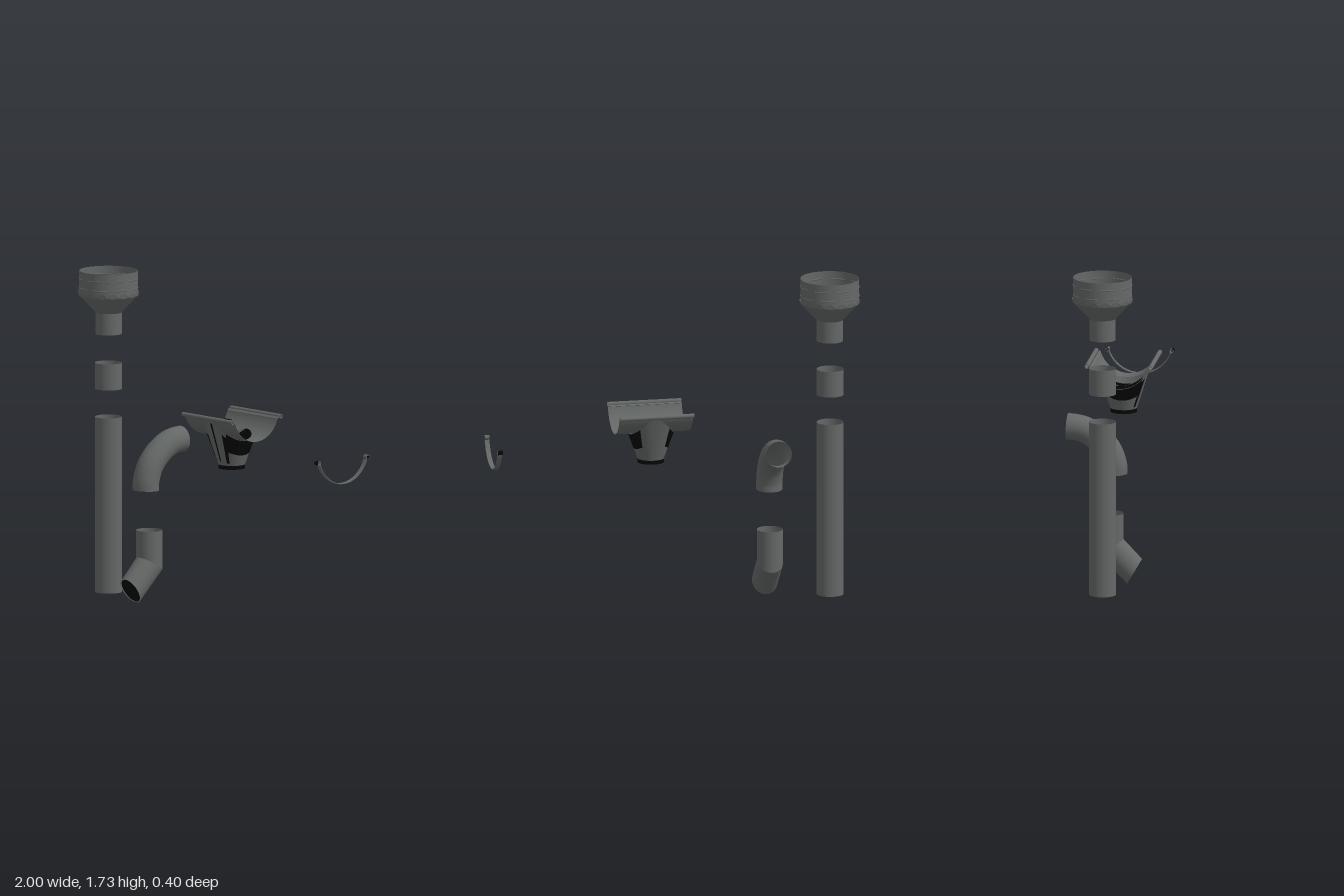
import * as THREE from 'three';
import { ParametricGeometry } from 'three/addons/geometries/ParametricGeometry.js';

const TAU = Math.PI * 2;

export function createModel() {
  const model = new THREE.Group();
  const material = (name, color) => {
    const m = new THREE.MeshStandardMaterial({ color, side: THREE.DoubleSide });
    m.name = name;
    return m;
  };
  const zinc = material('zincGrey', 0x646866);
  const black = material('black', 0x050505);

  const add = (name, geometry, mat, parent = model) => {
    const mesh = new THREE.Mesh(geometry, mat);
    mesh.name = name;
    parent.add(mesh);
    return mesh;
  };
  const group = (name, x = 0, y = 0, z = 0) => {
    const g = new THREE.Group();
    g.name = name;
    g.position.set(x, y, z);
    model.add(g);
    return g;
  };
  // surface from a function of u and v returning [x, y, z]
  const surface = (f, nu, nv) =>
    new ParametricGeometry((u, v, t) => t.set(...f(u, v)), nu, nv);
  // straight-sided skin between two rings, each a function of an angle
  const ruled = (a, b) => surface((u, v) => {
    const p = a(u * TAU), q = b(u * TAU);
    return p.map((c, i) => c + (q[i] - c) * v);
  }, 48, 4);
  const openTube = (r, h) => new THREE.CylinderGeometry(r, r, h, 40, 1, true);

  // straight downpipe and coupling sleeve
  add('downpipe', openTube(0.072, 0.94), zinc).position.set(-0.845, 0.485, 0.03);
  add('couplingSleeve', openTube(0.072, 0.14), zinc).position.set(-0.845, 1.175, 0.03);

  // rainwater hopper: spout, flare and rim in crisp bands
  const hopper = group('hopper', -0.843, 0, 0.03);
  const profile = [[0.07, 1.4], [0.07, 1.515], [0.156, 1.607], [0.156, 1.74]];
  ['hopperSpout', 'hopperFlare', 'hopperRim'].forEach((name, i) => {
    const pts = [profile[i], profile[i + 1]].map(p => new THREE.Vector2(...p));
    add(name, new THREE.LatheGeometry(pts, 48), zinc, hopper);
  });
  // pressed dashes and scallops decorating the rim
  [1.648, 1.698].forEach((y, row) => {
    for (let i = 0; i < 8; i++) {
      const dash = add('rimDash', new THREE.TorusGeometry(0.155, 0.004, 6, 8, TAU / 12), zinc, hopper);
      dash.rotation.set(Math.PI / 2, 0, (i + row * 0.3) * TAU / 8);
      dash.position.y = y;
    }
  });
  add('rimScallops', surface((u, v) => {
    const a = u * TAU;
    const y = 1.607 + v * (0.004 + 0.024 * Math.abs(Math.sin(a * 8)));
    const r = 0.157 + 0.004 * v;
    return [r * Math.cos(a), y, r * Math.sin(a)];
  }, 128, 1), zinc, hopper);

  // curved upper elbow
  const bend = new THREE.CatmullRomCurve3([
    [0.052, 0.6], [0.05, 0.645], [0.022, 0.725], [-0.035, 0.79], [-0.11, 0.836], [-0.165, 0.848], [-0.2, 0.85]
  ].map(([z, y]) => new THREE.Vector3(-0.52, y, z)));
  add('upperElbow', new THREE.TubeGeometry(bend, 40, 0.07, 40), zinc);

  // mitred lower elbow with an oblique mouth
  const ring = (y, dy, z, dz, dx = 0.069) => a =>
    [-0.518 + dx * Math.cos(a), y + dy * Math.sin(a), z + dz * Math.sin(a)];
  const elbowMouth = ring(0.072, 0.066, 0.16, 0.039);
  const mitre = ring(0.203, 0.04, 0.03, 0.07);
  const lower = group('lowerElbow');
  add('elbowCollar', ruled(ring(0.385, 0, 0.03, 0.07), mitre), zinc, lower);
  add('elbowSpout', ruled(mitre, elbowMouth), zinc, lower);
  add('elbowMouth', ruled(ring(0.072, 0.062, 0.16, 0.037, 0.06), () => [-0.518, 0.072, 0.16]), black, lower);

  // gutter section: rounded channel with an oval hole
  const gutter = group('gutter', 0.13, 0, 0.02);
  const R = 0.157, centreY = 1.112, halfArc = 0.2, halfLength = 0.2;
  const channel = (x, s, r = R) =>
    [x, centreY - r * Math.cos(s / R), r * Math.sin(s / R)];
  add('channel', surface((u, v) => {
    const c = Math.cos(u * TAU), s = Math.sin(u * TAU);
    const m = Math.max(Math.abs(c), Math.abs(s));
    const mix = (inner, outer) => inner + (outer - inner) * v;
    return channel(mix(0.105 * c, halfLength * c / m), mix(0.112 * s, halfArc * s / m));
  }, 96, 12), zinc, gutter);
  // stain on the channel floor, tapering towards the back
  add('channelStain', surface((u, v) =>
    channel(-0.2 + u * (0.06 + 0.04 * v), -0.15 + v * 0.28, R - 0.002), 4, 16), black, gutter);
  // rolled edge: hollow bead with thin end rings, joined by a narrow lip
  for (const side of [-1, 1]) {
    const bead = group('gutterBead', 0.13, 1.074, 0.016 + side * 0.17);
    bead.rotation.y = Math.PI / 2;
    add('beadTube', openTube(0.012, 0.4), zinc, bead).rotation.x = Math.PI / 2;
    for (const end of [-0.2, 0.2])
      add('beadEnd', new THREE.RingGeometry(0.008, 0.012, 20), zinc, bead).position.z = end;
    const lip = add('gutterLip', new THREE.BoxGeometry(0.4, 0.003, 0.014), zinc, gutter);
    lip.position.set(0, 1.068, side * 0.154);
    lip.rotation.x = -side * 0.7;
  }

  // outlet funnel, its upper edge following the channel
  const funnelPoint = (a, v, inset = 0) => {
    const z = 0.148 * Math.sin(a);
    const top = [0.12 * Math.cos(a), centreY - Math.sqrt(R * R - z * z) - 0.002, z];
    const foot = [0.07 * Math.cos(a), 0.81, -0.002 + 0.07 * Math.sin(a)];
    const p = foot.map((c, i) => c + (top[i] - c) * v);
    return [p[0] * (1 - inset), p[1], p[2] * (1 - inset)];
  };
  const funnelPatch = (a0, a1, v0, v1, inset) => surface((u, v) =>
    funnelPoint(a0 + (a1 - a0) * u, v0 + (v1 - v0) * v, inset), 48, 8);
  add('outletFunnel', funnelPatch(0, TAU, 0, 1, 0), zinc, gutter);
  add('funnelLining', funnelPatch(0, TAU, 0, 0.75, 0.02), black, gutter);
  // dark flank panels and narrow dark strips on the front
  for (const middle of [0, Math.PI])
    add('funnelFlank', funnelPatch(middle - 0.85, middle + 0.85, 0.42, 0.98, -0.015), black, gutter);
  for (const edge of [0.95, Math.PI - 0.95])
    add('funnelStrip', funnelPatch(edge - 0.1, edge + 0.1, 0.08, 0.85, -0.015), black, gutter);
  add('funnelSeam', funnelPatch(1.5, 1.62, 0.1, 0.95, -0.015), black, gutter);
  add('outletRing', openTube(0.071, 0.026), black, gutter).position.set(0, 0.805, -0.002);

  // gutter bracket: curved strap with a rolled clip at each end
  const bracket = group('bracket', 0.987, 0, -0.006);
  const strapShape = new THREE.Shape();
  const middle = -Math.PI / 2, sweep = 1.215;
  strapShape.absarc(0, 0, 0.177, middle - sweep, middle + sweep, false);
  strapShape.absarc(0, 0, 0.173, middle + sweep, middle - sweep, true);
  const strap = add('strap', new THREE.ExtrudeGeometry(strapShape, {
    depth: 0.025, bevelEnabled: false, curveSegments: 32
  }), zinc, bracket);
  strap.rotation.y = Math.PI / 2;
  strap.position.set(-0.0125, 0.981, 0);
  // each clip is grey outside and black on the half facing the channel
  for (const side of [-1, 1]) {
    const clip = group('clip', 0.987, 0.932, -0.006 + side * 0.172);
    clip.rotation.y = side * Math.PI / 2;
    [zinc, black].forEach((mat, i) => {
      const half = new THREE.CylinderGeometry(0.012, 0.012, 0.026, 12, 1, true, i * Math.PI, Math.PI);
      add(i ? 'clipInside' : 'clipOutside', half, mat, clip).rotation.x = Math.PI / 2;
    });
    for (const end of [-0.013, 0.013])
      add('clipEdge', new THREE.RingGeometry(0.009, 0.012, 20), zinc, clip).position.z = end;
  }
  return model;
}
